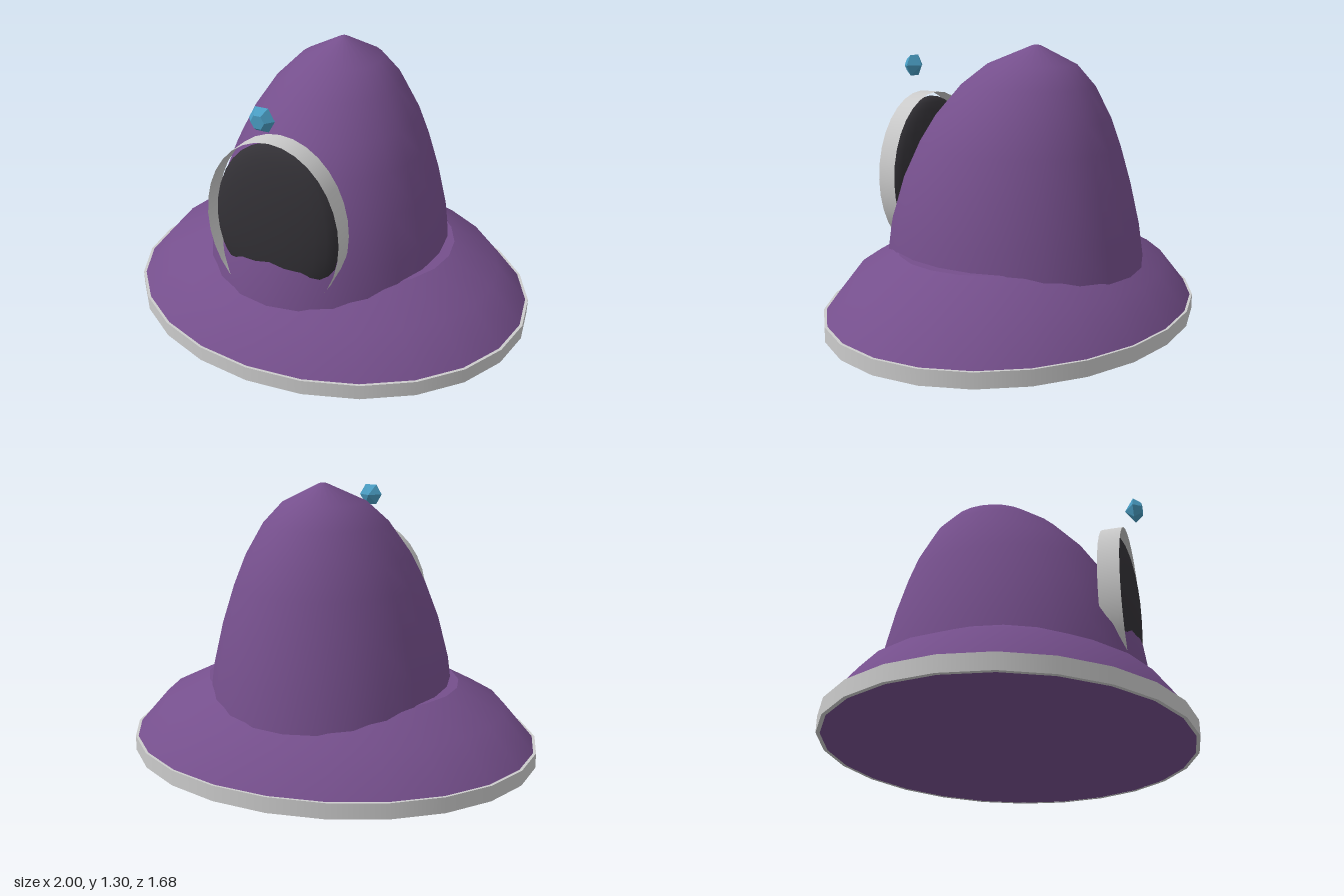
import * as THREE from 'three';
import { mergeVertices } from 'three/addons/utils/BufferGeometryUtils.js';

const SIDES = 24;
const BRIM_DEPTH = 0.84; // front-to-back scale of the oval brim

const paint = (color, extra = {}) => new THREE.MeshStandardMaterial({ color, ...extra });

function part(name, geometry, material) {
  const mesh = new THREE.Mesh(geometry, material);
  mesh.name = name;
  return mesh;
}

function lathe(points, sides) {
  return new THREE.LatheGeometry(points.map(([r, y]) => new THREE.Vector2(r, y)), sides);
}

// Rebuild smooth normals without a seam
function smooth(geometry) {
  geometry.deleteAttribute('uv');
  geometry.deleteAttribute('normal');
  const merged = mergeVertices(geometry, 1e-4);
  merged.computeVertexNormals();
  return merged;
}

export function createModel() {
  const model = new THREE.Group();
  model.name = 'hoodedHat';
  const purple = paint(0x754f8c);
  const pale = paint(0xcccccc, { side: THREE.DoubleSide });

  // Oval brim: sloping skirt, pale edge band and underside
  const brim = new THREE.Group();
  brim.name = 'brim';
  brim.scale.z = BRIM_DEPTH;
  brim.add(part('skirt', lathe([[0.99, 0.068], [0.84, 0.24], [0.62, 0.35]], SIDES), purple));
  const top = part('skirtTop', new THREE.CircleGeometry(0.62, SIDES), purple);
  top.rotation.x = -Math.PI / 2;
  top.position.y = 0.35;
  brim.add(top);

  const band = new THREE.Group();
  band.name = 'brimBand';
  band.add(part('bandOuter', lathe([[1, 0], [1, 0.072]], SIDES), pale));
  [0, 0.072].forEach((y, i) => {
    const lip = part(i ? 'bandUpperLip' : 'bandLowerLip', new THREE.RingGeometry(0.98, 1, SIDES), pale);
    lip.rotation.x = i ? -Math.PI / 2 : Math.PI / 2;
    lip.position.y = y;
    band.add(lip);
  });
  brim.add(band);

  const underside = part('underside', new THREE.CircleGeometry(0.985, SIDES), purple);
  underside.rotation.x = Math.PI / 2;
  underside.position.y = 0.002;
  brim.add(underside);
  model.add(brim);

  // Tall hood: narrow oval section, leaning back toward the tip
  const hood = lathe([
    [0.655, 0.2], [0.645, 0.28], [0.62, 0.45], [0.565, 0.65], [0.495, 0.83],
    [0.43, 0.96], [0.325, 1.11], [0.215, 1.21], [0.02, 1.297], [0, 1.3],
  ], SIDES);
  const p = hood.attributes.position;
  for (let i = 0; i < p.count; i++) {
    const lean = Math.max(0, (p.getY(i) - 0.4) / 0.9) ** 2;
    p.setX(i, p.getX(i) * 0.9);
    p.setZ(i, p.getZ(i) - 0.13 * lean);
  }
  model.add(part('hood', smooth(hood), purple));

  // Dark bulging face opening
  const face = part('faceOpening', new THREE.SphereGeometry(1, 24, 16), paint(0x333136));
  face.scale.set(0.305, 0.39, 0.09);
  face.position.set(0, 0.63, 0.525);
  model.add(face);

  // Thin pale hoop around the opening
  const hoop = part('faceHoop', new THREE.CylinderGeometry(1, 1, 0.1, 32, 1, true), pale);
  hoop.geometry.rotateX(Math.PI / 2);
  hoop.scale.set(0.325, 0.41, 1);
  hoop.position.set(0, 0.633, 0.53);
  model.add(hoop);

  // Six-sided cut gem floating above, flat table facing forward
  const gemShape = lathe([[0, -0.045], [0.06, 0.002], [0.032, 0.04], [0, 0.04]], 6);
  gemShape.rotateY(Math.PI / 6);
  gemShape.rotateX(Math.PI / 2);
  const gem = part('gem', gemShape, paint(0x4a9ec4, { flatShading: true }));
  gem.rotation.z = 0;
  gem.position.set(0, 1.17, 0.62);
  model.add(gem);

  return model;
}
